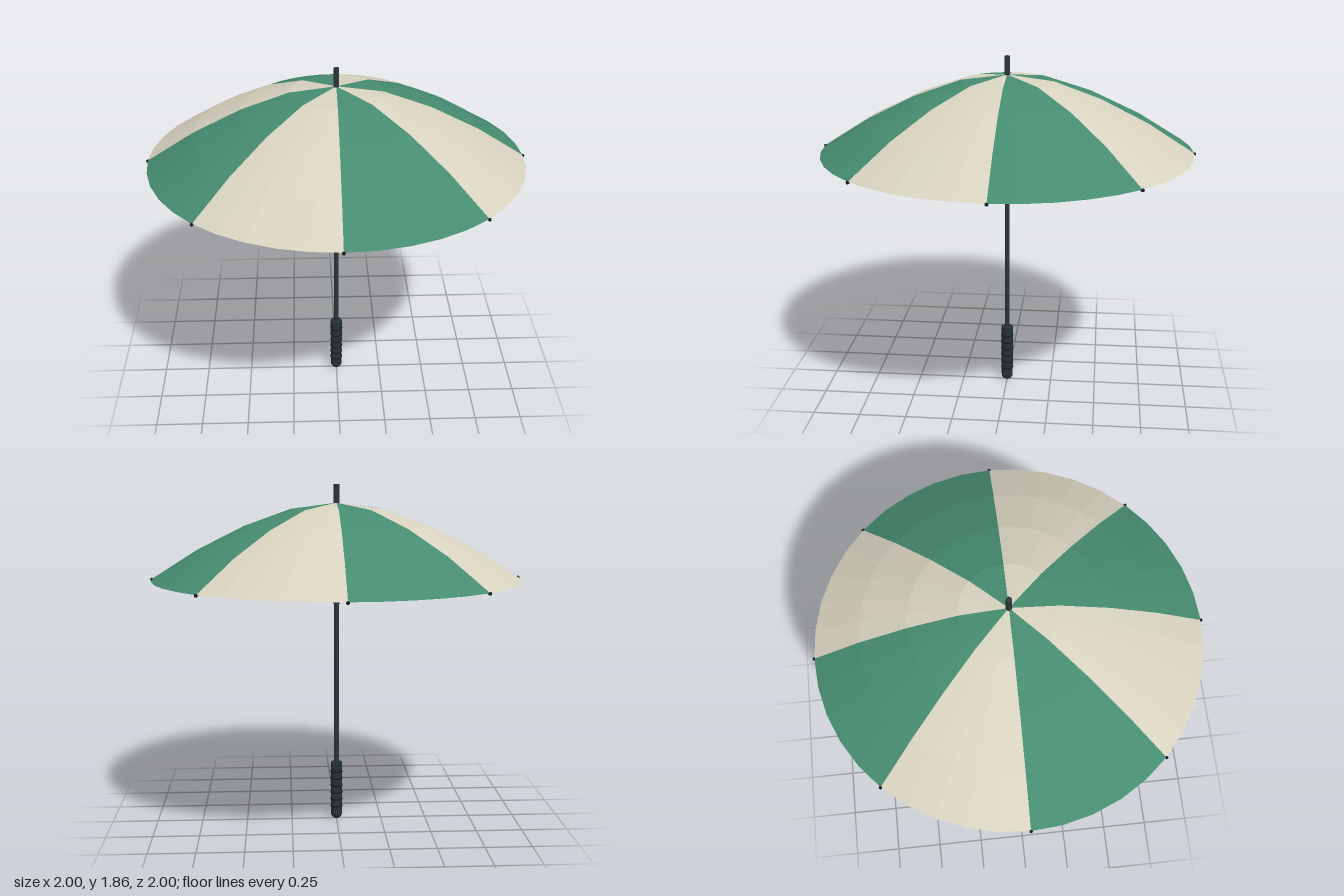
import * as THREE from 'three';

const mat = (name, color, extra = {}) => {
  const m = new THREE.MeshStandardMaterial({ color, ...extra });
  m.name = name;
  return m;
};

export function createModel() {
  const fabric = { flatShading: true, side: THREE.DoubleSide };
  const green = mat('green fabric', 0x468c70, fabric);
  const cream = mat('cream fabric', 0xd8d3c0, fabric);
  const metal = mat('dark metal', 0x2c3538);
  const wire = mat('black wire', 0x171b1c);
  const grip = mat('grip rubber', 0x273133);

  const root = new THREE.Group();
  root.name = 'umbrella';
  const add = (name, geometry, material, parent = root) => {
    const mesh = new THREE.Mesh(geometry, material);
    mesh.name = name;
    parent.add(mesh);
    return mesh;
  };
  const tube = (r, y0, y1, sides = 12) =>
    new THREE.CylinderGeometry(r, r, y1 - y0, sides).translate(0, (y0 + y1) / 2, 0);
  // Thin straight rod between two points
  const rod = (a, b, r) => {
    const d = b.clone().sub(a);
    const g = new THREE.CylinderGeometry(r, r, d.length(), 6);
    g.applyQuaternion(new THREE.Quaternion().setFromUnitVectors(new THREE.Vector3(0, 1, 0), d.normalize()));
    const c = a.clone().add(b).multiplyScalar(0.5);
    return g.translate(c.x, c.y, c.z);
  };

  // Canopy outline from rim to crown
  const profile = [[0.99, 1.36], [0.745, 1.515], [0.495, 1.64], [0.245, 1.73], [0, 1.762]]
    .map(([r, y]) => new THREE.Vector2(r, y));

  // Eight alternating panels
  const canopy = new THREE.Group();
  canopy.name = 'canopy';
  root.add(canopy);
  const step = Math.PI / 4;
  for (let i = 0; i < 8; i++) {
    add('canopyPanel', new THREE.LatheGeometry(profile, 5, i * step, step), i % 2 ? cream : green, canopy);
  }

  // Ribs, stretchers and rim tips on every seam
  const frame = new THREE.Group();
  frame.name = 'frame';
  root.add(frame);
  const ribPoints = profile.map(p => new THREE.Vector3(p.x, p.y - 0.007, 0));
  for (let i = 0; i < 8; i++) {
    const arm = new THREE.Group();
    arm.name = 'ribArm';
    arm.rotation.y = i * step;
    frame.add(arm);
    for (let k = 0; k < 4; k++) add('rib', rod(ribPoints[k], ribPoints[k + 1], 0.006), wire, arm);
    add('stretcher', rod(new THREE.Vector3(0.015, 1.25, 0), new THREE.Vector3(0.49, 1.632, 0), 0.0045), wire, arm);
    add('ribTip', new THREE.SphereGeometry(0.009, 8, 6).translate(0.991, 1.357, 0), wire, arm);
  }

  // Shaft, runner and ferrule
  add('shaft', tube(0.013, 0.3, 1.77), metal);
  add('runner', tube(0.02, 1.222, 1.272), metal);
  add('ferrule', tube(0.015, 1.75, 1.86), metal);

  // Grip with rounded end and raised rings
  const gripProfile = [[0, 0], [0.012, 0.002], [0.023, 0.009], [0.03, 0.02], [0.032, 0.034], [0.032, 0.327]]
    .map(([r, y]) => new THREE.Vector2(r, y));
  add('grip', new THREE.LatheGeometry(gripProfile, 16), grip);
  add('gripCap', tube(0.0318, 0.315, 0.328, 16), grip);
  for (let i = 0; i < 6; i++) {
    const ring = new THREE.TorusGeometry(0.031, 0.0045, 6, 16).rotateX(Math.PI / 2);
    add('gripRing', ring.translate(0, 0.075 + i * 0.04, 0), wire);
  }
  return root;
}
